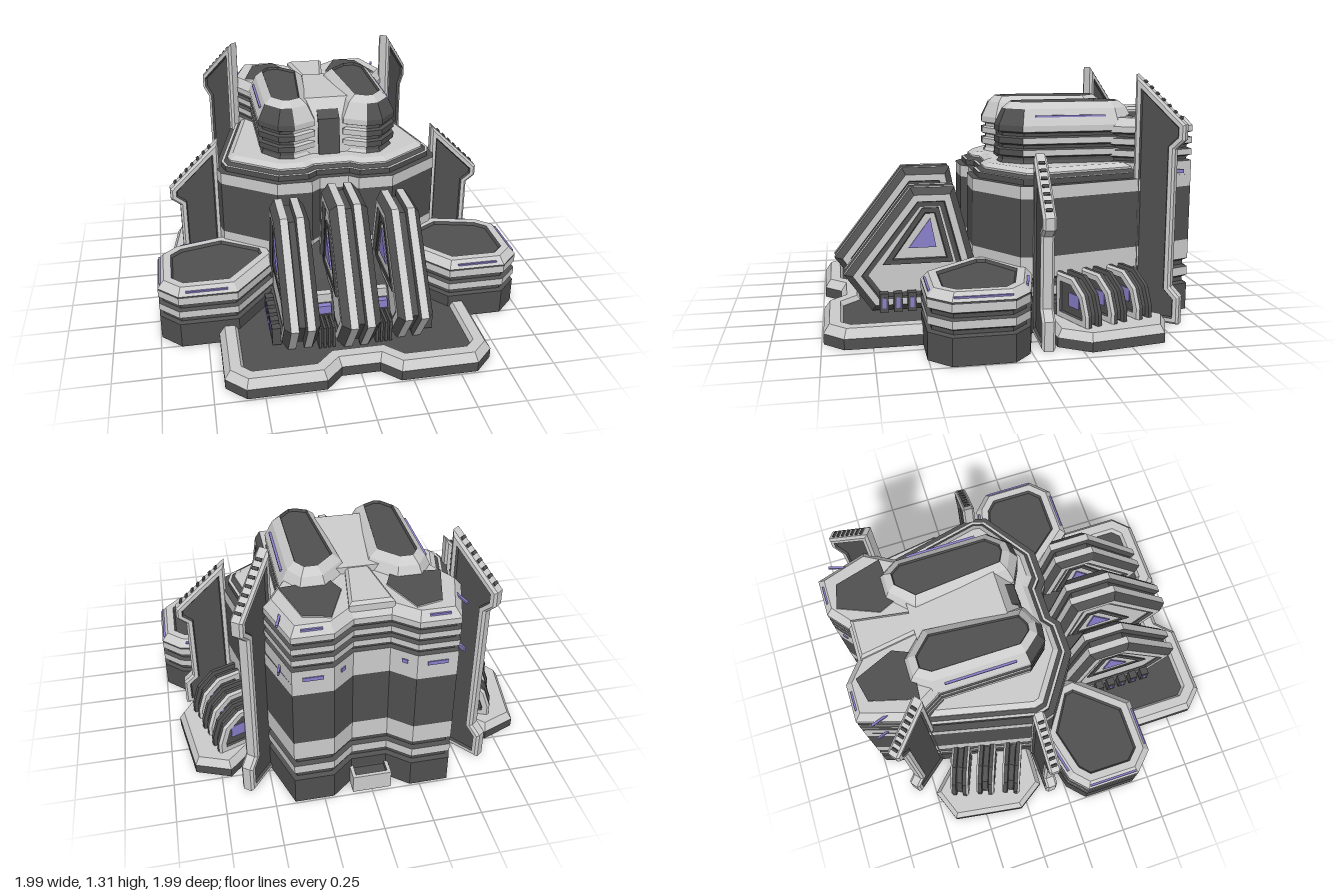
import * as THREE from 'three';

const L = 0xcccccc, D = 0x505050, P = 0x8a80cc;
const materials = {};
const mat = c => (materials[c] ??= new THREE.MeshStandardMaterial({ color: c, flatShading: true, side: THREE.DoubleSide }));

function mesh(name, positions, color) {
  const g = new THREE.BufferGeometry();
  g.setAttribute('position', new THREE.Float32BufferAttribute(positions, 3));
  g.computeVertexNormals();
  const m = new THREE.Mesh(g, mat(color));
  m.name = name;
  return m;
}

// Outline moved inwards by d, with mitred corners
function inset(pts, d) {
  const n = pts.length;
  const normal = (a, b) => {
    const l = Math.hypot(b[0] - a[0], b[1] - a[1]);
    return [-(b[1] - a[1]) / l, (b[0] - a[0]) / l];
  };
  return pts.map((p, i) => {
    const a = normal(pts[(i + n - 1) % n], p), b = normal(p, pts[(i + 1) % n]);
    const k = d / Math.max(0.25, 1 + a[0] * b[0] + a[1] * b[1]);
    return [p[0] + k * (a[0] + b[0]), p[1] + k * (a[1] + b[1])];
  });
}

// Closed solid from an (x, z) outline and levels [y, inset, colour of the band below]
function loft(name, outline, levels, top = L, bottom = D) {
  let area = 0;
  outline.forEach((p, i) => { const q = outline[(i + 1) % outline.length]; area += p[0] * q[1] - q[0] * p[1]; });
  const pts = area > 0 ? outline : [...outline].reverse();
  const faces = {};
  const tri = (c, ...v) => (faces[c] ??= []).push(...v.flat());
  const rings = levels.map(([y, d]) => inset(pts, d).map(p => [p[0], y, p[1]]));
  for (let k = 1; k < rings.length; k++) {
    pts.forEach((p, i) => {
      const j = (i + 1) % pts.length, a = rings[k - 1], b = rings[k];
      let c = levels[k][2];
      if (typeof c === 'function') c = c((p[0] + pts[j][0]) / 2, (p[1] + pts[j][1]) / 2);
      tri(c, a[i], b[j], a[j]);
      tri(c, a[i], b[i], b[j]);
    });
  }
  const cap = (ring, c, up) => {
    const flat = ring.map(v => new THREE.Vector2(v[0], v[2]));
    for (const [i, j, k] of THREE.ShapeUtils.triangulateShape(flat, [])) {
      if (up) tri(c, ring[i], ring[k], ring[j]);
      else tri(c, ring[i], ring[j], ring[k]);
    }
  };
  cap(rings[0], bottom, false);
  cap(rings[rings.length - 1], top, true);
  const g = new THREE.Group();
  g.name = name;
  for (const c in faces) g.add(mesh(name, faces[c], Number(c)));
  return g;
}

// Stands a loft upright: outline becomes (distance along dir, height), levels become thickness
function upright(g, x, z, dx, dz) {
  const d = new THREE.Vector3(dx, 0, dz).normalize(), up = new THREE.Vector3(0, 1, 0);
  const m = new THREE.Matrix4().makeBasis(d, up.clone().cross(d), up).setPosition(x, 0, z);
  g.children.forEach(c => c.geometry.applyMatrix4(m).computeVertexNormals());
  return g;
}

function box(name, color, w, h, d, x, y, z, ry = 0) {
  const g = new THREE.BoxGeometry(w, h, d).rotateY(ry).translate(x, y, z);
  const m = new THREE.Mesh(g.toNonIndexed(), mat(color));
  m.name = name;
  return m;
}

function mirrored(group) {
  const g = group.clone();
  g.traverse(o => {
    if (!o.isMesh) return;
    const s = o.geometry.attributes.position.array, out = [];
    for (let i = 0; i < s.length; i += 9)
      for (const k of [0, 6, 3]) out.push(-s[i + k], s[i + k + 1], s[i + k + 2]);
    o.geometry = mesh('', out, L).geometry;
  });
  return g;
}

const sym = half => [...half, ...half.map(p => [-p[0], p[1]]).reverse()];
const both = half => [...half.map((l, i) => [-l[0], l[1], half[i + 1]?.[2]]).reverse(), ...half];
const same = c => c;
// Horizontal ribbing between two heights
const grooves = (y0, y1, n, tint = same) => Array.from({ length: n }, (_, i) => {
  const h = (y1 - y0) / n, y = y0 + i * h;
  return [[y + 0.1 * h, 0.022, tint(D)], [y + 0.35 * h, 0.022, tint(D)], [y + 0.5 * h, 0, tint(D)], [y + h, 0, tint(L)]];
}).flat();

// Upright framed plate with a slanted, slatted top edge
function fin(name, profile, x, z, dx, dz) {
  const g = new THREE.Group();
  g.name = name;
  g.add(upright(loft('finPlate', profile,
    both([[0.022, 0, L], [0.034, 0.012, L], [0.034, 0.032, L], [0.022, 0.038, D]]), D, D), x, z, dx, dz));
  const [a, b] = [profile[1], profile[2]];
  for (let i = 0; i < 7; i++) {
    const t = 0.16 + i * 0.12, s = a[0] + (b[0] - a[0]) * t, y = a[1] + (b[1] - a[1]) * t, r = 0.011;
    g.add(upright(loft('finSlat', [[s - r, y], [s, y + r], [s + r, y], [s, y - r]], [[-0.016, 0], [0.016, 0, D]], D), x, z, dx, dz));
  }
  return g;
}

// Slanted front buttress with framed side faces
function rib(x, w, profile) {
  const g = new THREE.Group();
  g.name = 'buttress';
  g.add(upright(loft('buttressPlate', profile, both([[0.016, 0.03, D], [0.022, 0, D], [0.062, 0, L],
    [w, 0.035, D], [w, 0.07, L], [w - 0.015, 0.075, D], [w - 0.015, 0.1, D]]), L, L), x, 0, 0, 1));
  const frame = [[0.68, 0.33], [0.47, 0.625], [0.385, 0.625], [0.31, 0.33]];
  const e = w - 0.015;
  g.add(upright(loft('windowFrame', frame, both([[e + 0.008, 0, D], [e + 0.008, 0.025, D], [e + 0.003, 0.03, D]]), L, L), x, 0, 0, 1));
  g.add(upright(loft('buttressWindow', [[0.545, 0.415], [0.43, 0.57], [0.4, 0.415]], both([[e + 0.01, 0, P]]), P, P), x, 0, 0, 1));
  return g;
}

export function createModel() {
  const model = new THREE.Group();
  model.name = 'fortifiedBuilding';
  const side = new THREE.Group();
  side.name = 'leftSide';

  // Front platform
  model.add(loft('platform', sym([[0.1, 0.9], [0.19, 0.99], [0.59, 0.99], [0.69, 0.89], [0.69, 0.15]]),
    [[0, 0], [0.055, 0, D], [0.1, 0.03, L], [0.1, 0.085, L], [0.075, 0.1, L]], D));

  // Main body and rear tower
  model.add(loft('mainBody', sym([[0.09, -0.9], [0.2, -0.99], [0.4, -0.99], [0.49, -0.72], [0.635, -0.09], [0.61, 0.0], [0.32, 0.2], [0.13, 0.2], [0.08, 0.16]]),
    [[0, 0], [0.15, 0, D], ...grooves(0.15, 0.34, 2), [0.4, 0, L], [0.7, 0, D], [0.765, 0, L],
      [0.765, 0.035, D], [0.795, 0.035, D], [0.795, 0.05, L], [0.81, 0.07, D], [0.82, 0.07, L], [0.84, 0.1, L]]));
  model.add(loft('rearTower', sym([[0.09, -0.9], [0.2, -0.99], [0.4, -0.99], [0.485, -0.72], [0.38, -0.54]]),
    [[0.75, 0], [0.84, 0, L], ...grooves(0.84, 1.03, 3), [1.075, 0.035, L]]));
  model.add(loft('roofRidge', sym([[0.05, -0.5], [0.11, -0.88]]), [[1.0, 0], [1.09, 0, L], [1.105, 0.015, L]]));
  model.add(loft('rearHatch', [[-0.1, -0.985], [0.1, -0.985], [0.1, -0.88], [-0.1, -0.88]],
    [[0, 0], [0.1, 0, L], [0.1, 0.018, L], [0.085, 0.022, D]], D));
  side.add(loft('towerRoofPanel', [[0.4, -0.65], [0.33, -0.9], [0.2, -0.93], [0.11, -0.72], [0.15, -0.63]],
    [[1.05, 0], [1.083, 0, L], [1.083, 0.01, D]], D));

  // Upper hall: two lobes with a sunken centre
  const front = c => (x, z) => (z > -0.03 ? (x > 0.21 ? D : L) : c);
  side.add(loft('hallLobe', [[0.03, -0.55], [0.17, -0.69], [0.31, -0.69], [0.385, -0.58], [0.385, -0.06], [0.29, 0.05], [0.2, 0.06], [0.08, 0.0]],
    [[0.82, 0], ...grooves(0.85, 1.04, 3, front), [1.125, 0.04, front(L)], [1.16, 0.08, L], [1.145, 0.085, D]], D));
  model.add(upright(loft('hallCentre', [[-0.58, 0.82], [-0.58, 1.11], [-0.1, 1.135], [-0.02, 1.03], [0.0, 0.82]], both([[0.13, 0, L]]), L, L), 0, 0, 0, 1));
  model.add(upright(loft('hallFrontPanel', [[-0.07, 0.82], [-0.07, 1.09], [-0.01, 1.04], [0.02, 0.82]], both([[0.06, 0, D]]), D, D), 0, 0, 0, 1));

  // Front buttresses and the two entrances between them
  model.add(rib(0, 0.1, [[0.15, 0.08], [0.77, 0.08], [0.93, 0.3], [0.55, 0.79], [0.29, 0.79], [0.2, 0.35]]));
  side.add(rib(0.29, 0.092, [[0.15, 0.08], [0.74, 0.08], [0.88, 0.28], [0.53, 0.73], [0.3, 0.73], [0.2, 0.35]]));
  side.add(upright(loft('entrance', [[0.1, 0.05], [0.64, 0.05], [0.64, 0.2], [0.58, 0.3], [0.45, 0.3], [0.1, 0.4]], both([[0.06, 0, D]]), D, D), 0.15, 0, 0, 1));
  side.add(box('entranceLintel', L, 0.1, 0.05, 0.04, 0.15, 0.28, 0.585));
  side.add(box('entranceLight', P, 0.09, 0.045, 0.04, 0.15, 0.23, 0.62));
  for (let i = 0; i < 4; i++) side.add(box('entranceBar', D, 0.014, 0.12, 0.12, 0.114 + i * 0.024, 0.14, 0.7));
  for (let i = 0; i < 5; i++) {
    side.add(box('lampFrame', D, 0.045, 0.1, 0.045, 0.405, 0.14, 0.39 + i * 0.0725));
    side.add(box('lampLight', P, 0.05, 0.055, 0.02, 0.406, 0.14, 0.39 + i * 0.0725));
  }

  // Side bastion
  side.add(loft('bastion', [[0.62, -0.06], [0.9, 0.01], [0.995, 0.1], [0.995, 0.4], [0.89, 0.505], [0.58, 0.505], [0.34, 0.22], [0.36, 0.1]],
    [[0, 0], [0.14, 0, D], ...grooves(0.14, 0.3, 2), [0.31, 0, D], [0.35, 0.035, L], [0.35, 0.075, L], [0.335, 0.085, D]], D));
  side.add(box('bastionLight', P, 0.22, 0.008, 0.012, 0.74, 0.328, 0.49));
  side.add(box('bastionLight', P, 0.012, 0.008, 0.28, 0.98, 0.328, 0.25));
  side.add(box('bastionLight', P, 0.15, 0.008, 0.012, 0.79, 0.335, 0.0, -0.24));

  // Side deck with three vents
  side.add(loft('sideDeck', [[0.5, -0.13], [0.45, -0.6], [0.57, -0.62], [0.7, -0.75], [0.88, -0.68], [0.94, -0.29], [0.84, -0.14]],
    [[0, 0], [0.05, 0, D], [0.09, 0.025, L], [0.09, 0.09, L]], L));
  for (let i = 0; i < 3; i++) {
    const x = 0.555 + i * 0.04, z = -0.535 + i * 0.145;
    side.add(upright(loft('vent', [[-0.04, 0.08], [-0.04, 0.32], [0.1, 0.32], [0.19, 0.25], [0.225, 0.15], [0.225, 0.08]],
      both([[0.015, 0.02, D], [0.02, 0, D], [0.04, 0, D], [0.052, 0.012, L], [0.052, 0.04, L], [0.042, 0.045, D]]), D, D), x, z, 0.93, -0.37));
    side.add(box('ventLight', P, 0.08, 0.07, 0.094, x + 0.1, 0.2, z - 0.04, 0.38));
  }

  // Tall rear fin and shorter front fin
  side.add(fin('rearFin', [[0, 0], [0, 1.31], [0.27, 1.06], [0.27, 0.98], [0.22, 0.93], [0.22, 0.2], [0.27, 0.15], [0.27, 0]], 0.46, -0.65, 0.63, -0.78));
  side.add(fin('frontFin', [[-0.03, 0], [-0.03, 0.93], [0.25, 0.66], [0.25, 0.6], [0.2, 0.56], [0.2, 0.2], [0.25, 0.15], [0.25, 0]], 0.645, -0.095, 1, 0.05));

  // Light strips on hall, tower and rear wall
  side.add(box('hallLight', P, 0.012, 0.01, 0.38, 0.366, 1.088, -0.32));
  side.add(box('towerLight', P, 0.1, 0.01, 0.012, 0.3, 1.055, -0.97));
  side.add(box('towerLight', P, 0.012, 0.01, 0.14, 0.428, 1.055, -0.85, -0.305));
  side.add(box('rearWallLight', P, 0.1, 0.02, 0.01, 0.3, 0.79, -0.99));
  side.add(box('rearWallLight', P, 0.01, 0.02, 0.12, 0.436, 0.79, -0.87, -0.305));
  side.add(box('rearWallLight', P, 0.03, 0.02, 0.01, 0.15, 0.79, -0.95, 0.686));

  const right = mirrored(side);
  right.name = 'rightSide';
  model.add(side, right);
  return model;
}
